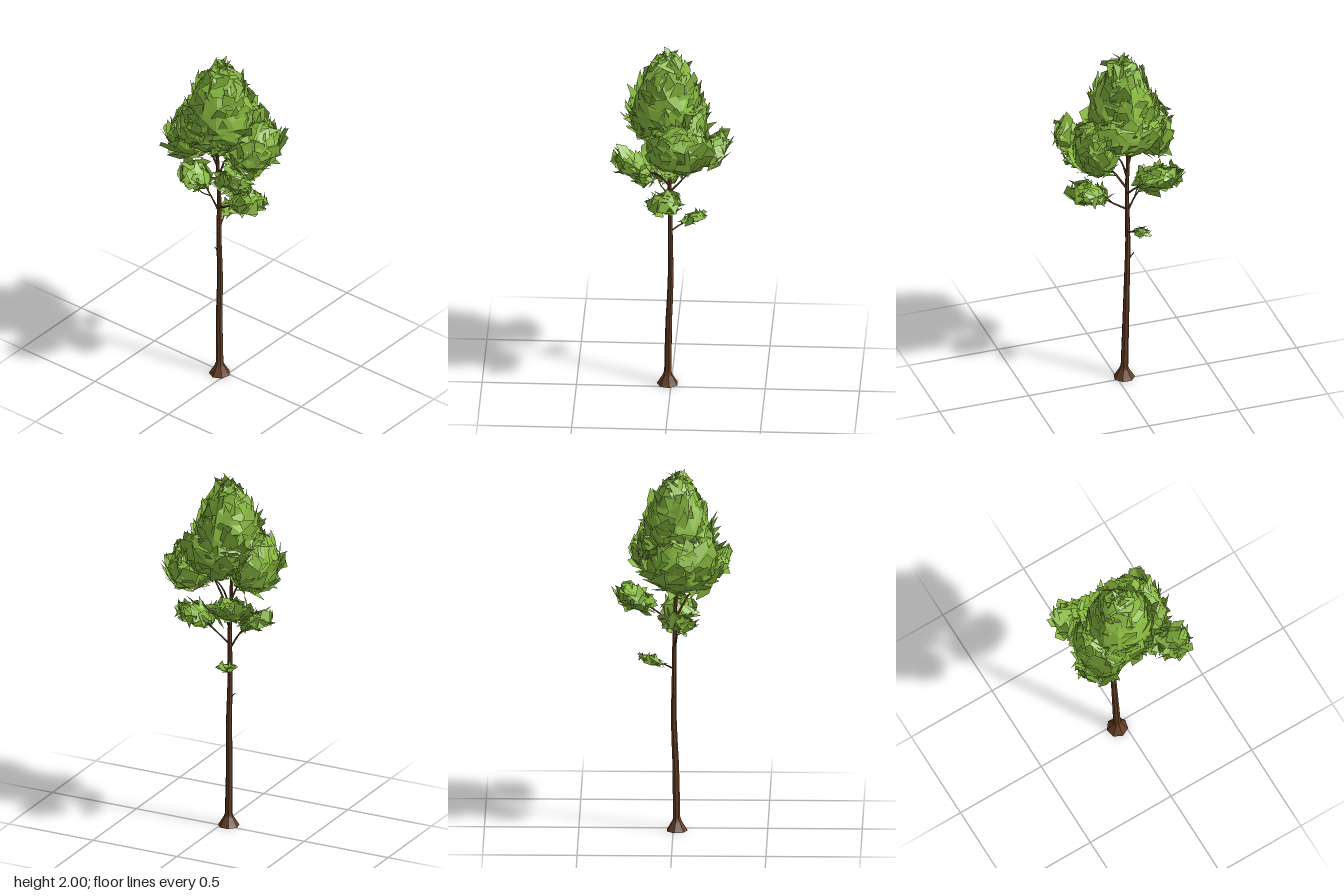
import * as THREE from 'three';
import { mergeGeometries } from 'three/addons/utils/BufferGeometryUtils.js';

const V = (x, y, z) => new THREE.Vector3(x, y, z);
const bark = new THREE.MeshStandardMaterial({ color: 0x633f26, flatShading: true, side: THREE.DoubleSide });
const leafGreen = new THREE.MeshStandardMaterial({ color: 0x88b840, flatShading: true, side: THREE.DoubleSide });

// Small seeded generator
let seed = 7;
function rnd(a = 0, b = 1) {
  seed = (seed * 1664525 + 1013904223) % 4294967296;
  return a + (b - a) * seed / 4294967296;
}

// Tapered tube through the given points
function limb(name, points, r0, r1, sides = 5, segs = 8) {
  const curve = new THREE.CatmullRomCurve3(points.map(p => V(...p)));
  const geo = new THREE.TubeGeometry(curve, segs, 1, sides);
  const pos = geo.attributes.position, v = V(0, 0, 0);
  for (let i = 0; i < pos.count; i++) {
    const u = Math.floor(i / (sides + 1)) / segs, c = curve.getPointAt(u);
    v.fromBufferAttribute(pos, i).sub(c).multiplyScalar(r0 + (r1 - r0) * u).add(c);
    pos.setXYZ(i, v.x, v.y, v.z);
  }
  const mesh = new THREE.Mesh(geo, bark);
  mesh.name = name;
  return mesh;
}

// Faceted leafy mass: an egg-shaped core covered with overlapping triangular and four-sided leaves;
// slope tips the mass upward along x and z
function foliage(name, { at, size, taper = 0, count, leaf, lift = 0.8, lean = 0.5, core = 1, slope = [0, 0] }) {
  const surface = n => {
    const k = 1 - taper * n.y;
    return V(n.x * size[0] * k, n.y * size[1], n.z * size[2] * k);
  };
  const coreGeo = new THREE.IcosahedronGeometry(1, 1);
  const corePos = coreGeo.attributes.position, n = V(0, 0, 0);
  for (let i = 0; i < corePos.count; i++) {
    n.fromBufferAttribute(corePos, i).normalize();
    const bump = 1 + 0.08 * Math.sin(7 * n.x + 3 * n.y) * Math.cos(6 * n.z - 2 * n.y);
    const p = surface(n).multiplyScalar(bump * core);
    corePos.setXYZ(i, p.x, p.y, p.z);
  }
  coreGeo.deleteAttribute('uv');
  coreGeo.deleteAttribute('normal');

  const verts = [];
  for (let i = 0; i < count; i++) {
    // even spread over the sphere
    const y = 1 - 2 * (i + 0.5) / count, a = i * 2.39996 + rnd(-0.3, 0.3), r = Math.sqrt(1 - y * y);
    const dir = V(r * Math.cos(a), y, r * Math.sin(a));
    const base = surface(dir).multiplyScalar(rnd(0.92, 1.04));
    const out = V(dir.x / size[0], dir.y / size[1], dir.z / size[2]).normalize();
    // leaf points mostly upward along the surface and leans out
    const along = V(rnd(-0.8, 0.8), rnd(lift - 0.7, lift + 0.7), rnd(-0.8, 0.8));
    along.addScaledVector(out, -along.dot(out)).normalize().addScaledVector(out, rnd(0, lean)).normalize();
    const side = V(0, 0, 0).crossVectors(along, out).normalize();
    const len = leaf * rnd(0.6, 1.15), wide = leaf * rnd(0.3, 0.55);
    const pt = (u, w) => base.clone().addScaledVector(along, u * len).addScaledVector(side, w * wide);
    const A = pt(-0.5, -0.8), B = pt(-0.4, 0.8), C = pt(0.6, rnd(-0.4, 0.4));
    const tris = [A, C, B];
    if (rnd() < 0.5) tris.push(B, C, pt(rnd(0.2, 0.4), rnd(0.8, 1.1)));
    tris.forEach(p => verts.push(p.x, p.y, p.z));
  }
  const leaves = new THREE.BufferGeometry();
  leaves.setAttribute('position', new THREE.Float32BufferAttribute(verts, 3));
  const geo = mergeGeometries([coreGeo, leaves]), pos = geo.attributes.position;
  for (let i = 0; i < pos.count; i++)
    pos.setY(i, pos.getY(i) + slope[0] * pos.getX(i) + slope[1] * pos.getZ(i));
  geo.computeVertexNormals();
  const mesh = new THREE.Mesh(geo, leafGreen);
  mesh.name = name;
  mesh.position.set(...at);
  return mesh;
}

export function createModel() {
  const tree = new THREE.Group();
  tree.name = 'tree';

  // Flared root collar and slightly bent trunk
  const flare = new THREE.LatheGeometry(
    [[0, 0], [0.058, 0], [0.048, 0.015], [0.027, 0.05], [0.018, 0.075]].map(p => new THREE.Vector2(...p)), 7);
  const rootFlare = new THREE.Mesh(flare, bark);
  rootFlare.name = 'rootFlare';
  rootFlare.position.set(-0.04, 0, 0.019);
  tree.add(rootFlare);
  tree.add(limb('trunk', [[-0.04, 0.03, 0.017], [-0.047, 0.35, 0.013], [-0.05, 0.6, 0.003], [-0.056, 0.85, 0.005],
    [-0.052, 1.15, 0.008], [-0.06, 1.38, 0.015], [-0.05, 1.65, 0.01]], 0.021, 0.007, 7, 14));

  // Branches from the trunk to each leafy mass
  [
    ['lowBackBranch', [[-0.055, 0.9, 0], [-0.07, 0.925, -0.04], [-0.095, 0.96, -0.12]], 0.005],
    ['lowLeftBranch', [[-0.05, 1.04, 0.01], [0.03, 1.09, 0.02], [0.13, 1.16, 0.03]], 0.006],
    ['lowRightBranch', [[-0.055, 1.02, 0.01], [-0.1, 1.1, 0.02], [-0.17, 1.19, 0.02]], 0.006],
    ['backBranch', [[-0.052, 1.14, 0], [-0.08, 1.22, -0.08], [-0.16, 1.32, -0.2]], 0.006],
    ['frontBranch', [[-0.05, 1.17, 0.01], [0.02, 1.27, 0.07], [0.12, 1.34, 0.15], [0.18, 1.38, 0.2]], 0.007],
    ['upperLeftBranch', [[-0.052, 1.24, 0.01], [-0.01, 1.36, 0], [0.1, 1.46, -0.02]], 0.006],
    ['upperRightBranch', [[-0.055, 1.28, 0.01], [-0.09, 1.38, 0.03], [-0.15, 1.48, 0.05]], 0.006],
    ['deadTwig', [[-0.055, 0.72, 0.005], [-0.075, 0.755, 0], [-0.09, 0.77, 0]], 0.005],
    ['clumpTwigLeft', [[0.03, 1.09, 0.02], [0.06, 1.14, -0.02], [0.1, 1.18, -0.04]], 0.004],
    ['clumpTwigRight', [[-0.1, 1.1, 0.02], [-0.13, 1.13, 0.06], [-0.16, 1.18, 0.08]], 0.004],
    ['clumpTwigBack', [[-0.09, 1.24, -0.1], [-0.07, 1.28, -0.15], [-0.07, 1.31, -0.18]], 0.004],
  ].forEach(([name, pts, r]) => tree.add(limb(name, pts, r, r * 0.4)));

  // Main crown: pointed dome merging into drooping lobes, then separate clumps on the outer branches
  const crown = { leaf: 0.14, taper: 0.12 };
  const clump = { leaf: 0.105, lean: 0.9, core: 0.9, lift: 0.35 };
  const masses = {
    crownDome: { ...crown, at: [-0.035, 1.7, 0.02], size: [0.172, 0.25, 0.172], taper: 0.45, count: 150 },
    crownTip: { at: [-0.022, 1.915, 0.02], size: [0.025, 0.05, 0.025], taper: 0.5, count: 16, leaf: 0.08, lift: 1.2 },
    crownRightLobe: { ...crown, at: [-0.185, 1.515, 0.045], size: [0.11, 0.15, 0.175], count: 85, slope: [0.1, 0] },
    crownLeftLobe: { ...crown, at: [0.15, 1.485, -0.045], size: [0.105, 0.13, 0.165], count: 80 },
    crownFrontLobe: { ...crown, at: [-0.07, 1.585, 0.125], size: [0.15, 0.115, 0.095], count: 50 },
    crownBackLobe: { ...crown, at: [-0.01, 1.575, -0.105], size: [0.18, 0.11, 0.085], count: 50 },
    frontClump: { ...clump, at: [0.195, 1.41, 0.2], size: [0.08, 0.06, 0.085], count: 42, slope: [0.2, 0.4] },
    frontUnderClump: { ...clump, at: [0.19, 1.325, 0.13], size: [0.06, 0.025, 0.05], count: 18, leaf: 0.07, slope: [0.2, 0] },
    backClump: { ...clump, at: [-0.165, 1.325, -0.205], size: [0.11, 0.055, 0.095], count: 46, slope: [-0.1, -0.3] },
    lowLeftClump: { ...clump, at: [0.155, 1.165, 0.025], size: [0.1, 0.05, 0.085], count: 42, leaf: 0.09, slope: [0.18, 0] },
    lowRightClump: { ...clump, at: [-0.2, 1.195, 0.03], size: [0.08, 0.04, 0.08], count: 36, leaf: 0.09, slope: [-0.3, 0] },
    lowBackClump: { ...clump, at: [-0.095, 0.96, -0.115], size: [0.035, 0.018, 0.06], count: 18, leaf: 0.065, slope: [0, -0.35] },
  };
  for (const [name, spec] of Object.entries(masses)) tree.add(foliage(name, spec));
  return tree;
}
